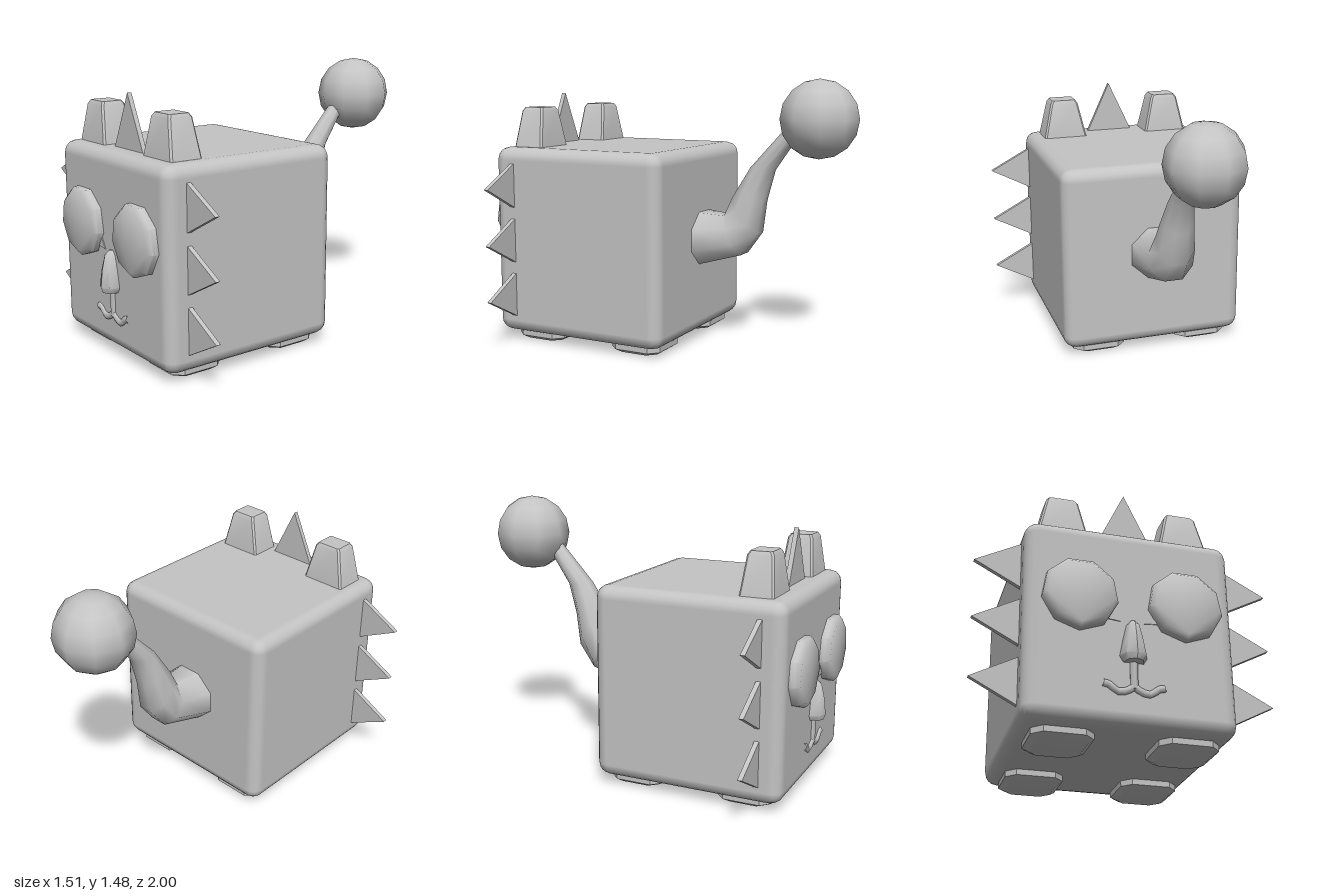
import * as THREE from 'three';
import { mergeVertices, toCreasedNormals } from 'three/addons/utils/BufferGeometryUtils.js';
import { RoundedBoxGeometry } from 'three/addons/geometries/RoundedBoxGeometry.js';

const grey = new THREE.MeshStandardMaterial({ color: 0xc4c4c4 });
grey.name = 'plain grey';

// Skin over equal-length rings of points, capped at both ends
function loft(rings, crease) {
  const n = rings[0].length, pos = [], idx = [];
  rings.flat().forEach((p) => pos.push(...p));
  for (let r = 0; r < rings.length - 1; r++) {
    for (let i = 0; i < n; i++) {
      const a = r * n + i, b = r * n + (i + 1) % n;
      idx.push(a, b, b + n, a, b + n, a + n);
    }
  }
  const last = (rings.length - 1) * n;
  for (let i = 1; i < n - 1; i++) {
    idx.push(0, i + 1, i, last, last + i, last + i + 1);
  }
  const g = new THREE.BufferGeometry();
  g.setAttribute('position', new THREE.Float32BufferAttribute(pos, 3));
  g.setIndex(idx);
  return toCreasedNormals(g, crease);
}

// Horizontal rectangle with cut corners
function cutRect(x, y, z, w, d, c) {
  return [[w, d - c], [w - c, d], [c - w, d], [-w, d - c], [-w, c - d], [c - w, -d], [w - c, -d], [w, c - d]]
    .map(([u, v]) => [x + u, y, z - v]);
}

function ellipse(n, start, point) {
  return Array.from({ length: n }, (_, i) => {
    const a = start + (i / n) * Math.PI * 2;
    return point(Math.cos(a), Math.sin(a));
  });
}

// Thin upright plate facing the front
function plate(points, z, depth) {
  const shape = new THREE.Shape(points.map(([x, y]) => new THREE.Vector2(x, y)));
  return new THREE.ExtrudeGeometry(shape, { depth, bevelEnabled: false }).translate(0, 0, z);
}

export function createModel() {
  const model = new THREE.Group();
  model.name = 'cubeCreature';
  const add = (name, geometry) => {
    const mesh = new THREE.Mesh(geometry, grey);
    mesh.name = name;
    model.add(mesh);
    return mesh;
  };

  add('body', new RoundedBoxGeometry(1.05, 1.05, 1.05, 2, 0.07)).position.set(0, 0.575, 0.405);

  for (const s of [-1, 1]) {
    const side = s > 0 ? 'left' : 'right';

    // Blunt ears
    const ex = s * 0.317 - 0.004;
    add(side + 'Ear', loft([
      cutRect(ex, 1.08, 0.752, 0.133, 0.094, 0.01),
      cutRect(ex, 1.3, 0.752, 0.083, 0.07, 0.01),
      cutRect(ex, 1.32, 0.752, 0.07, 0.058, 0.01),
    ], 0.6));

    // Nine-sided eyes with a bevelled rim
    const eyeX = s * 0.264 + 0.004;
    const eyeRing = (r, z) => ellipse(9, -Math.PI / 2, (c, k) => [eyeX + c * r, 0.697 + k * r, z]);
    add(side + 'Eye', loft([eyeRing(0.188, 0.9), eyeRing(0.188, 0.962), eyeRing(0.165, 0.984)], 0.9));
    add(side + 'EyeCorner', plate([[s * 0.058, 0.582], [s * 0.13, 0.59], [s * 0.09, 0.635]], 0.926, 0.009));

    // Three side spikes
    for (const y of [0.27, 0.58, 0.89]) {
      add(side + 'Spike', plate([[s * 0.5, y - 0.135], [s * 0.755, y], [s * 0.5, y + 0.135]], 0.79, 0.025));
    }

    // Feet
    for (const z of [0.7, 0.08]) {
      const fx = s * 0.308 + 0.003;
      add(side + (z > 0.5 ? 'Front' : 'Back') + 'Foot', loft([
        cutRect(fx, 0, z, 0.122, 0.12, 0.045),
        cutRect(fx, 0.02, z, 0.151, 0.15, 0.05),
        cutRect(fx, 0.07, z, 0.151, 0.15, 0.05),
      ], 0.6));
    }

    // Curled half of the mouth
    const lip = new THREE.CatmullRomCurve3([[0, 0.248], [0.04, 0.222], [0.085, 0.218], [0.115, 0.245], [0.15, 0.254]]
      .map(([x, y]) => new THREE.Vector3(s * x + 0.003, y, 0.927)));
    add(side + 'Mouth', new THREE.TubeGeometry(lip, 6, 0.02, 6));
  }

  add('crest', plate([[-0.14, 1.08], [0.152, 1.08], [0.006, 1.39]], 0.79, 0.025));

  // Nose and the strip down to the mouth
  add('nose', loft([[0.37, 0.05, 0.06], [0.4, 0.068, 0.07], [0.49, 0.05, 0.06], [0.565, 0.032, 0.042], [0.59, 0.012, 0.015]]
    .map(([y, w, d]) => ellipse(8, 0, (c, k) => [0.003 + c * w, y, 0.93 - k * d])), 0.8));
  add('noseStrip', new THREE.CylinderGeometry(0.021, 0.021, 0.15, 6)).position.set(0.003, 0.31, 0.927);

  // Tail rings: upper z, y, lower z, y, half width
  const tail = [
    [-0.06, 0.75, -0.06, 0.43, 0.175],
    [-0.13, 0.738, -0.13, 0.447, 0.165],
    [-0.265, 0.728, -0.37, 0.515, 0.125],
    [-0.31, 0.83, -0.463, 0.64, 0.105],
    [-0.36, 0.915, -0.49, 0.82, 0.085],
    [-0.41, 1.0, -0.54, 0.99, 0.065],
    [-0.6, 1.21, -0.64, 1.13, 0.045],
    [-0.68, 1.27, -0.71, 1.2, 0.04],
  ];
  add('tail', loft(tail.map(([z1, y1, z2, y2, w]) => ellipse(8, Math.PI / 8, (c, k) => {
    const e = k * 1.08 / 2;
    return [-0.023 - c * w * 1.04, (y1 + y2) / 2 + e * (y1 - y2), (z1 + z2) / 2 + e * (z1 - z2)];
  })), 1.2));

  // Ball at the tail tip
  const ball = new THREE.SphereGeometry(0.212, 9, 8);
  ball.deleteAttribute('uv');
  add('tailBall', mergeVertices(ball)).position.set(-0.03, 1.272, -0.79);

  return model;
}
